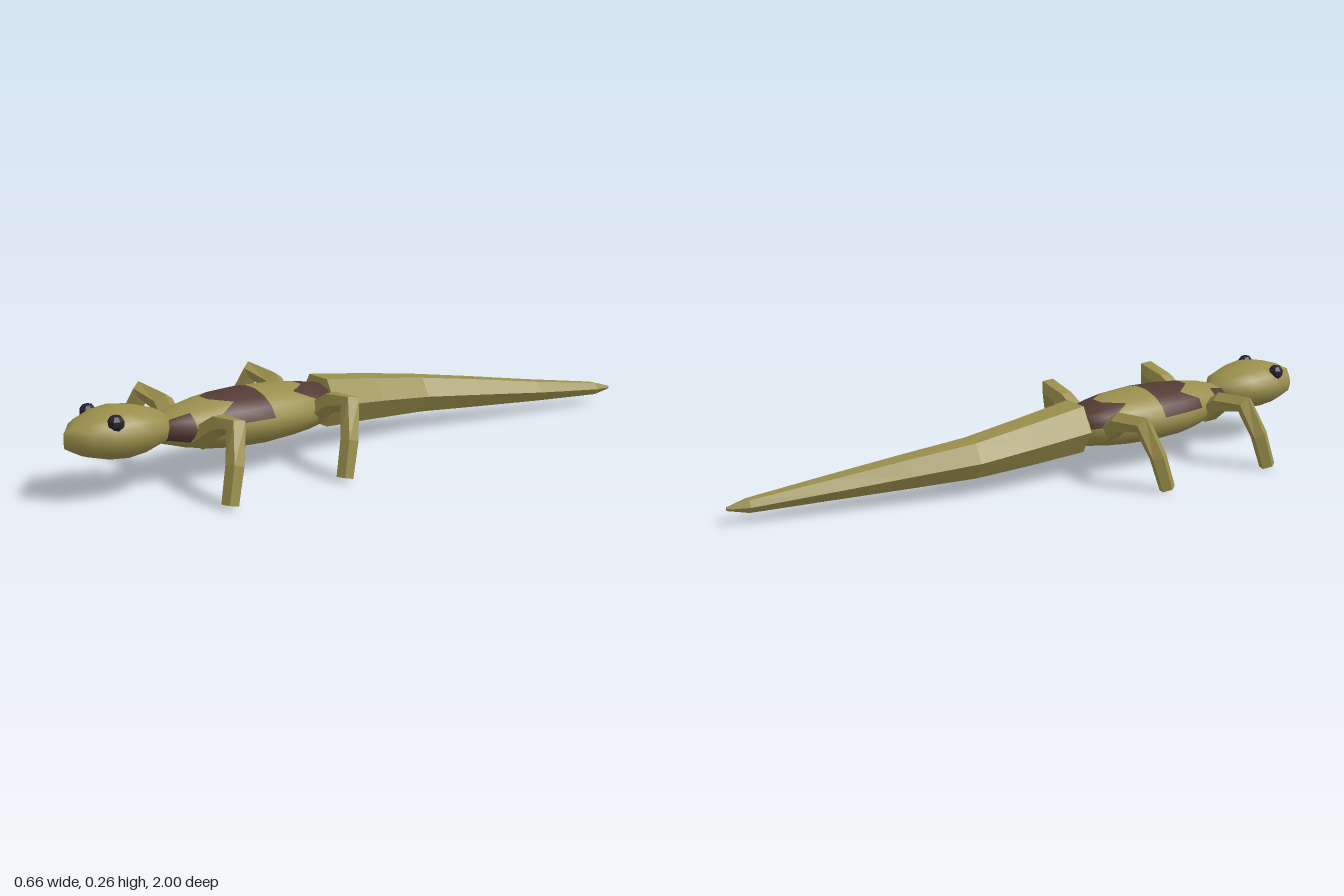
import * as THREE from 'three';

const paint = (name, color) => Object.assign(new THREE.MeshStandardMaterial({ color }), { name });

// Skins a list of closed rings and caps both ends. paintQuad(i, j) may return
// [flipDiagonal, firstTriangleDark, secondTriangleDark] for two-colour skins.
function loft(rings, flat, paintQuad = () => [false, false, false]) {
  const n = rings[0].length, last = rings.length - 1;
  const pts = rings.flat();
  const faces = [[], []];
  for (let i = 0; i < last; i++) {
    for (let j = 0; j < n; j++) {
      const k = (j + 1) % n;
      const a = i * n + j, b = i * n + k, c = a + n, d = b + n;
      const [flip, dark1, dark2] = paintQuad(i, j);
      faces[+dark1].push(a, c, flip ? d : b);
      faces[+dark2].push(...(flip ? [a, d, b] : [b, c, d]));
    }
  }
  for (const end of [0, last]) {
    const centre = new THREE.Vector3();
    rings[end].forEach((p) => centre.addScaledVector(p, 1 / n));
    pts.push(centre);
    for (let j = 0; j < n; j++) {
      const a = end * n + j, b = end * n + (j + 1) % n;
      faces[0].push(pts.length - 1, ...(end ? [b, a] : [a, b]));
    }
  }
  let geo = new THREE.BufferGeometry().setFromPoints(pts);
  geo.setIndex([...faces[0], ...faces[1]]);
  if (flat) geo = geo.toNonIndexed();
  geo.computeVertexNormals();
  geo.addGroup(0, faces[0].length, 0);
  geo.addGroup(faces[0].length, faces[1].length, 1);
  return geo;
}

// Upright oval ring; power below 1 makes it boxier
function oval(z, halfWidth, top, bottom, sides, { x = 0, turn = 0, power = 1 } = {}) {
  const round = (v) => Math.sign(v) * Math.abs(v) ** power;
  return Array.from({ length: sides }, (_, j) => {
    const a = ((j + turn) / sides) * Math.PI * 2;
    return new THREE.Vector3(
      x + halfWidth * round(Math.sin(a)),
      (top + bottom) / 2 + ((top - bottom) / 2) * round(Math.cos(a)), z);
  });
}

// Rings following a bent path, mitred at the joints
function limbRings(path, radii, sides) {
  return path.map((p, i) => {
    const before = path[Math.max(i - 1, 0)], after = path[Math.min(i + 1, path.length - 1)];
    const t = after.clone().sub(before).normalize();
    const v = new THREE.Vector3(0, 0, 1).addScaledVector(t, -t.z).normalize();
    const u = t.clone().cross(v);
    return Array.from({ length: sides }, (_, j) => {
      const a = (j / sides) * Math.PI * 2;
      return p.clone().addScaledVector(u, Math.cos(a) * radii[i]).addScaledVector(v, Math.sin(a) * radii[i]);
    });
  });
}

export function createModel() {
  const olive = paint('olive skin', 0x9a8f4c);
  const brown = paint('brown markings', 0x553a34);
  const black = paint('dark eyes', 0x2a2030);
  const model = new THREE.Group();
  model.name = 'lizard';
  const add = (name, geometry, material) => {
    const mesh = new THREE.Mesh(geometry, material);
    mesh.name = name;
    model.add(mesh);
    return mesh;
  };

  // Body with zigzag saddles on the back: z, half width, top, bottom
  const bodyRings = [
    [0.12, 0.085, 0.212, 0.09], [0.2, 0.114, 0.226, 0.08], [0.265, 0.126, 0.236, 0.074],
    [0.375, 0.137, 0.242, 0.07], [0.48, 0.128, 0.24, 0.074], [0.54, 0.115, 0.235, 0.082],
    [0.62, 0.092, 0.222, 0.1], [0.7, 0.052, 0.2, 0.125],
  ].map(([z, w, top, bottom]) => oval(z, w, top, bottom, 16, { turn: 0.5 }));
  const saddles = (row, j) => {
    const m = Math.min(j, 14 - j); // steps down from the spine, -1 on top
    const toothed = m === 0 || m === 1;
    if (toothed && (row === 1 || row === 4)) {
      const flip = (j === 0 || j === 13) === (row === 1);
      return [flip, !flip, flip];
    }
    const dark = ((row === 0 || row === 3) && m <= 2)
      || (row === 4 && m <= 2)
      || (row === 6 && m >= 1 && m <= 4);
    return [false, dark, dark];
  };
  add('body', loft(bodyRings, false, saddles), [olive, brown]);

  // Head tapering to a narrow snout
  const headRings = [
    [0.668, 0.02, 0.205, 0.16], [0.71, 0.08, 0.232, 0.132], [0.77, 0.1, 0.252, 0.116],
    [0.83, 0.108, 0.261, 0.11], [0.89, 0.1, 0.255, 0.116], [0.95, 0.076, 0.236, 0.133],
    [0.98, 0.035, 0.22, 0.15], [1, 0.005, 0.21, 0.162],
  ].map(([z, w, top, bottom]) => oval(z, w, top, bottom, 12, { power: 0.88 }));
  add('head', loft(headRings, false), olive);

  // Tail, hexagonal and bent to one side, from tip to root
  const tailRings = [
    [-1, 0.168, 0.006, 0.055, 0.045], [-0.94, 0.154, 0.025, 0.073, 0.034],
    [-0.7, 0.105, 0.045, 0.108, 0.043], [-0.47, 0.052, 0.058, 0.144, 0.052],
    [-0.27, 0.006, 0.07, 0.173, 0.061], [-0.08, -0.001, 0.078, 0.202, 0.07],
    [0.118, 0, 0.088, 0.23, 0.08],
  ].map(([z, x, w, top, bottom]) => oval(z, w, top, bottom, 6, { x, turn: 0.5 }));
  // flat-topped hexagon: stretch to the full height
  tailRings.forEach((ring) => {
    const mid = ring.reduce((s, p) => s + p.y, 0) / ring.length;
    ring.forEach((p) => { p.y = mid + (p.y - mid) / Math.cos(Math.PI / 6); });
  });
  add('tail', loft(tailRings, true), olive);

  // Eyes and legs on both sides
  const legPath = [
    [0.065, 0.135, 0.6], [0.152, 0.194, 0.585], [0.254, 0.211, 0.596],
    [0.29, 0.112, 0.63], [0.304, 0.007, 0.658],
  ];
  for (const [side, s] of [['left', 1], ['right', -1]]) {
    const eye = add(side + 'Eye', new THREE.SphereGeometry(0.025, 8, 5).toNonIndexed(), black);
    eye.geometry.computeVertexNormals();
    eye.position.set(s * 0.078, 0.233, 0.88);
    for (const [end, dz] of [['Front', 0], ['Hind', -0.405]]) {
      const path = legPath.map(([x, y, z]) => new THREE.Vector3(s * x, y, z + dz));
      add(side + end + 'Leg', loft(limbRings(path, [0.036, 0.033, 0.031, 0.028, 0.026], 5), true), olive);
    }
  }
  return model;
}
